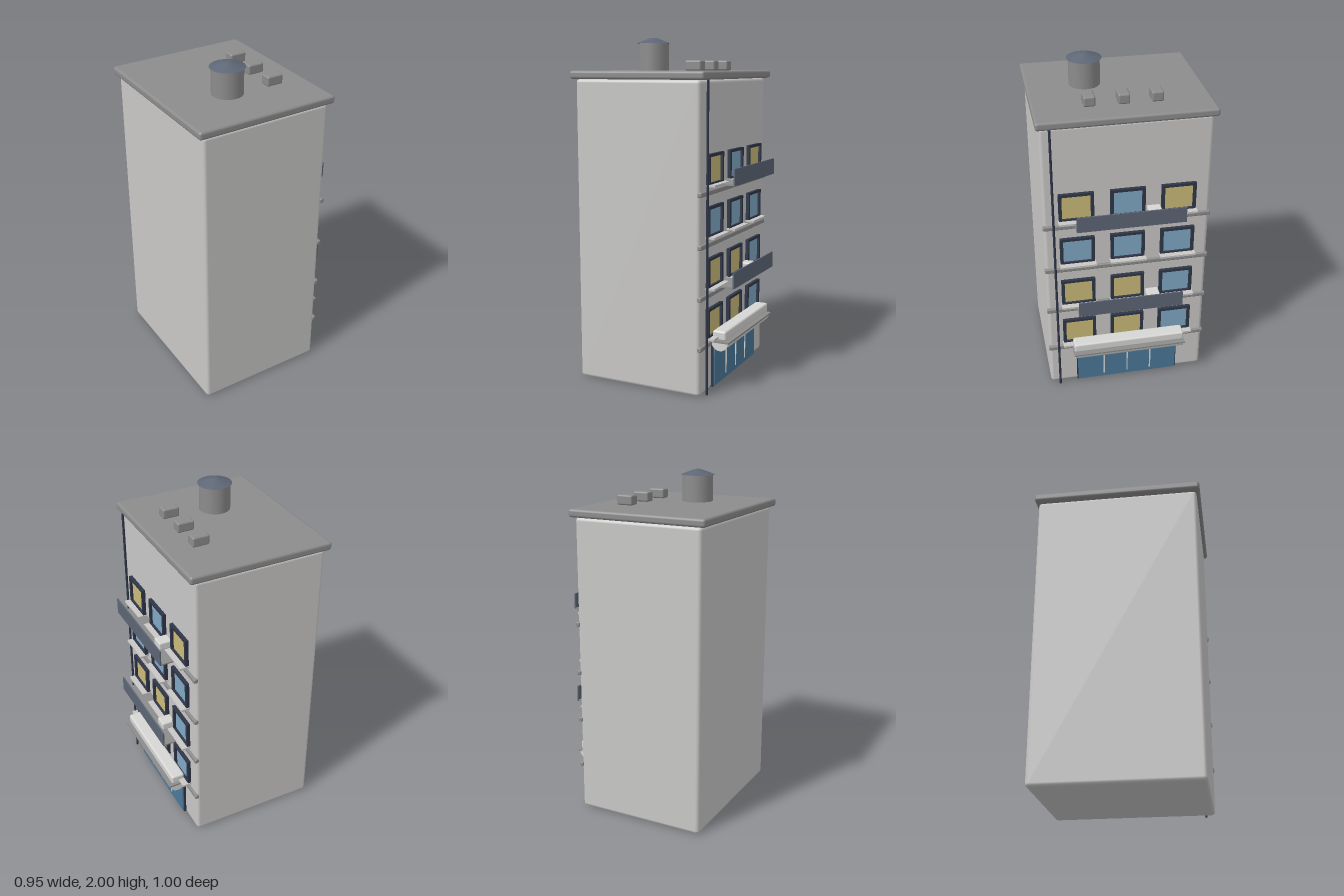
import * as THREE from 'three';
import { RoundedBoxGeometry } from 'three/addons/geometries/RoundedBoxGeometry.js';

const colours = {
  wall: 0xc9c8c7, concrete: 0x8c8c8c, darkFrame: 0x2f3647, slate: 0x5d6675,
  blueGlass: 0x7fa8c4, warmGlass: 0xcbbb7a, shopGlass: 0x4a7899, paleMetal: 0xd6d6d4,
};

export function createModel() {
  const model = new THREE.Group();
  model.name = 'building';
  const mats = {};
  for (const [name, color] of Object.entries(colours)) {
    mats[name] = new THREE.MeshStandardMaterial({ color });
    mats[name].name = name;
  }

  const add = (name, geo, mat, x = 0, y = 0, z = 0, parent = model) => {
    const mesh = new THREE.Mesh(geo, mats[mat]);
    mesh.name = name;
    mesh.position.set(x, y, z);
    parent.add(mesh);
    return mesh;
  };
  // Box given by its limits; a radius rounds its edges
  const box = (name, mat, [x0, x1], [y0, y1], [z0, z1], r = 0, parent = model) => {
    const size = [x1 - x0, y1 - y0, z1 - z0];
    const geo = r ? new RoundedBoxGeometry(...size, 2, r) : new THREE.BoxGeometry(...size);
    return add(name, geo, mat, (x0 + x1) / 2, (y0 + y1) / 2, (z0 + z1) / 2, parent);
  };

  // Main block and roof slab
  box('body', 'wall', [-0.445, 0.337], [0, 1.768], [-0.48, 0.48], 0.02);
  box('roofSlab', 'concrete', [-0.475, 0.37], [1.768, 1.815], [-0.5, 0.5], 0.015);

  // Water tank with a shallow conical lid
  add('waterTank', new THREE.CylinderGeometry(0.09, 0.09, 0.16, 24), 'concrete', -0.107, 1.892, 0.165);
  add('tankLid', new THREE.CylinderGeometry(0.02, 0.1, 0.03, 24), 'slate', -0.107, 1.985, 0.165);

  // Roof vents
  for (const z of [-0.19, -0.003, 0.187])
    box('roofVent', 'concrete', [0.12, 0.22], [1.815, 1.873], [z - 0.033, z + 0.033], 0.01);

  // Floor bands across the facade
  for (const y of [0.277, 0.565, 0.857, 1.15])
    box('floorBand', 'concrete', [0.325, 0.351], [y - 0.014, y + 0.014], [-0.485, 0.485], 0.007);

  // Window frame outline, extruded outward along +x
  const frame = new THREE.Shape();
  const rect = (path, w, h) => path.moveTo(-w, -h).lineTo(w, -h).lineTo(w, h).lineTo(-w, h).closePath();
  rect(frame, 0.1, 0.088);
  const hole = new THREE.Path();
  rect(hole, 0.082, 0.072);
  frame.holes.push(hole);
  const frameGeo = new THREE.ExtrudeGeometry(frame, { depth: 0.022, bevelEnabled: false });
  frameGeo.rotateY(Math.PI / 2);

  // Rows of windows from the lowest floor up: W = lit, B = blue
  ['WWB', 'WWB', 'BBB', 'WBW'].forEach((row, i) => {
    const y = 0.402 + i * 0.2917;
    [0.293, 0, -0.293].forEach((z, j) => {
      const win = new THREE.Group();
      win.name = 'window';
      win.position.set(0.335, y, z);
      model.add(win);
      add('windowFrame', frameGeo, 'darkFrame', 0, 0, 0, win);
      box('windowGlass', row[j] === 'W' ? 'warmGlass' : 'blueGlass',
        [0, 0.008], [-0.074, 0.074], [-0.084, 0.084], 0, win);
      box('windowSill', 'wall', [0, 0.057], [-0.092, -0.08], [-0.105, 0.105], 0, win);
    });
  });

  // Balconies with a slate front panel and a cooling unit
  for (const y of [0.602, 1.187]) {
    box('balconyFloor', 'concrete', [0.33, 0.468], [y, y + 0.008], [-0.31, 0.31]);
    box('balconyPanel', 'slate', [0.465, 0.473], [y, y + 0.095], [-0.31, 0.31]);
    box('coolingUnit', 'paleMetal', [0.34, 0.42], [y + 0.008, y + 0.055], [-0.187, -0.11], 0.008);
  }

  // Shop front with slim mullions
  box('shopFrame', 'darkFrame', [0.33, 0.35], [0.008, 0.262], [-0.316, 0.316]);
  box('shopGlass', 'shopGlass', [0.34, 0.358], [0.014, 0.26], [-0.31, 0.31]);
  for (const z of [-0.146, 0, 0.146])
    box('shopMullion', 'paleMetal', [0.356, 0.362], [0.04, 0.24], [z - 0.004, z + 0.004]);

  // Awning: case, plate and rolled half-cylinder
  box('awningCase', 'paleMetal', [0.355, 0.437], [0.298, 0.355], [-0.338, 0.338], 0.012);
  box('awningPlate', 'concrete', [0.33, 0.458], [0.285, 0.295], [-0.343, 0.343]);
  const roll = new THREE.CylinderGeometry(0.05, 0.05, 0.67, 24, 1, false, -Math.PI / 2, Math.PI);
  roll.rotateX(Math.PI / 2);
  add('awningRoll', roll, 'paleMetal', 0.398, 0.286, 0);

  // Drain pipe
  add('drainPipe', new THREE.CylinderGeometry(0.007, 0.007, 1.768, 10), 'darkFrame', 0.36, 0.884, 0.425);

  return model;
}
